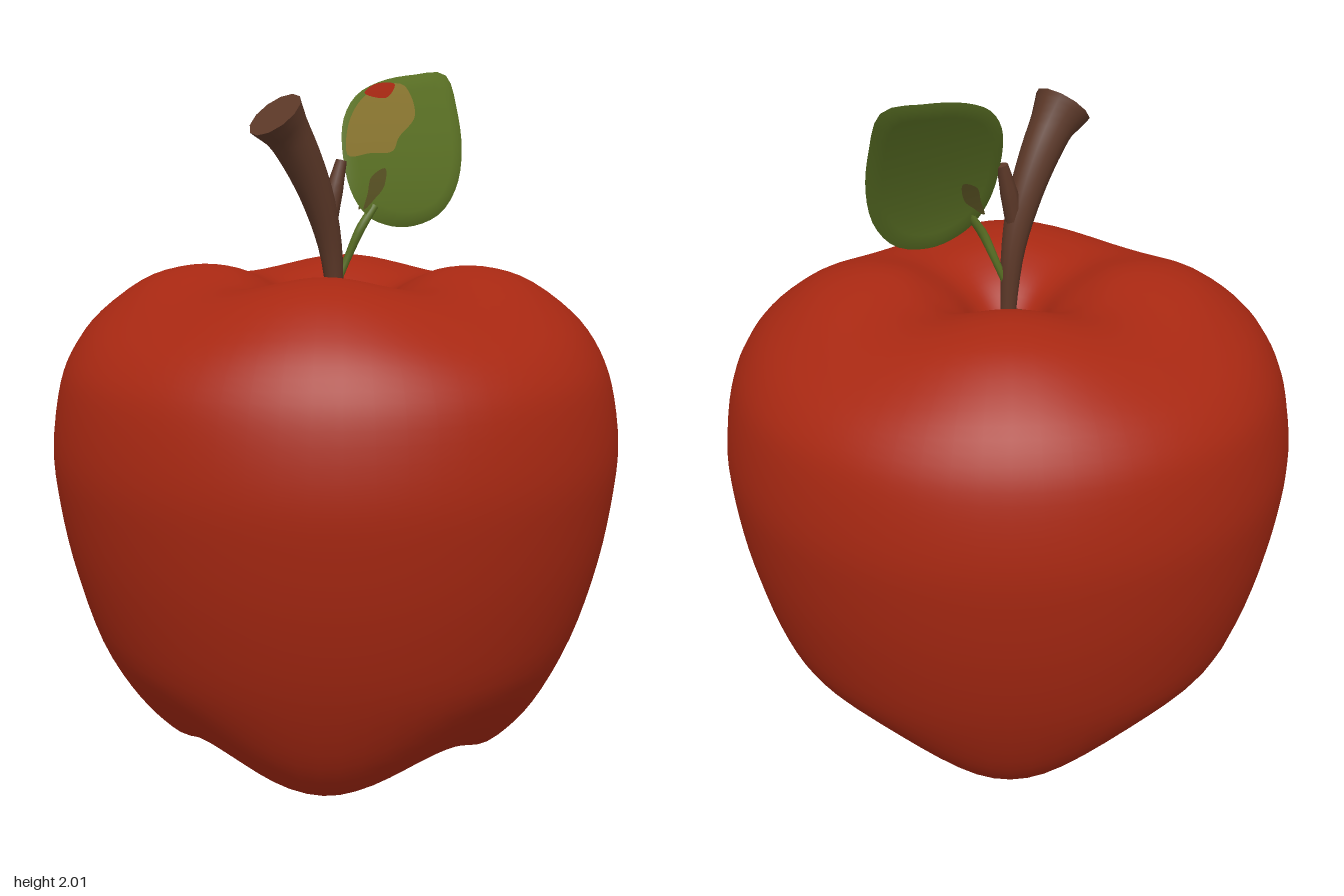
import * as THREE from 'three';
import { mergeVertices } from 'three/addons/utils/BufferGeometryUtils.js';

const paint = (name, color, side = THREE.FrontSide) => {
  const m = new THREE.MeshStandardMaterial({ color, side });
  m.name = name;
  return m;
};
const smooth = THREE.MathUtils.smoothstep;

// Four-lobed fruit: a lathe whose top and bottom dip along the x and z axes
function fruitGeometry() {
  const profile = new THREE.SplineCurve([
    [0, 0.2], [0.1, 0.155], [0.2, 0.085], [0.32, 0.022], [0.44, 0], [0.53, 0.06],
    [0.62, 0.18], [0.715, 0.385], [0.78, 0.6], [0.815, 0.79], [0.826, 0.94],
    [0.805, 1.1], [0.765, 1.21], [0.69, 1.31], [0.56, 1.405], [0.43, 1.442],
    [0.31, 1.437], [0.22, 1.4], [0.14, 1.345], [0.07, 1.27], [0, 1.23],
  ].map(([x, y]) => new THREE.Vector2(x, y))).getPoints(72);
  profile[0].x = profile[72].x = 0;
  let g = new THREE.LatheGeometry(profile, 64);
  const p = g.attributes.position;
  for (let i = 0; i < p.count; i++) {
    const x = p.getX(i), y = p.getY(i), z = p.getZ(i);
    const valley = Math.cos(2 * Math.atan2(z, x)) ** 2 * smooth(Math.hypot(x, z), 0, 0.38);
    const lift = 0.085 * (1 - smooth(y, 0.05, 0.4)) - 0.045 * smooth(y, 1.1, 1.42);
    p.setY(i, y + valley * lift);
  }
  g.deleteAttribute('normal');
  g.deleteAttribute('uv');
  g = mergeVertices(g, 1e-5);
  g.computeVertexNormals();
  return g;
}

// Round limb through [x, y, z, radius] stations, closed at the far end
function limbGeometry(stations, sides = 12, steps = 20) {
  const curve = new THREE.CatmullRomCurve3(stations.map(s => new THREE.Vector3(s[0], s[1], s[2])));
  const pos = [], idx = [];
  for (let i = 0; i <= steps; i++) {
    const t = i / steps, f = t * (stations.length - 1);
    const k = Math.min(Math.floor(f), stations.length - 2);
    const r = THREE.MathUtils.lerp(stations[k][3], stations[k + 1][3], f - k);
    const c = curve.getPoint(t), d = curve.getTangent(t);
    const across = new THREE.Vector3(d.y, -d.x, 0).normalize();
    const depth = new THREE.Vector3().crossVectors(across, d);
    for (let j = 0; j < sides; j++) {
      const a = j / sides * Math.PI * 2;
      const v = c.clone().addScaledVector(across, r * Math.cos(a)).addScaledVector(depth, r * Math.sin(a));
      pos.push(v.x, v.y, v.z);
      if (i < steps) {
        const n = (j + 1) % sides, a0 = i * sides + j, a1 = i * sides + n;
        idx.push(a0, a0 + sides, a1, a1, a0 + sides, a1 + sides);
      }
    }
  }
  // separate rim vertices keep the cut end crisp
  const rim = pos.slice(-sides * 3), start = pos.length / 3;
  pos.push(...rim);
  const end = curve.getPoint(1);
  pos.push(end.x, end.y, end.z);
  for (let j = 0; j < sides; j++) idx.push(start + j, start + sides, start + (j + 1) % sides);
  return build(pos, idx);
}

function build(pos, idx) {
  const g = new THREE.BufferGeometry();
  g.setAttribute('position', new THREE.Float32BufferAttribute(pos, 3));
  g.setIndex(idx);
  g.computeVertexNormals();
  return g;
}

// Leaf surface curls backwards towards its upper edge
const leafZ = y => 0.06 - 0.17 * Math.max(0, (y - 1.55) / 0.45) ** 1.5;

// Curled sheet filling an anticlockwise outline, built from rings about its centre
function sheetGeometry(outline, offset, pinch, back = false) {
  const n = 48, rings = 10;
  const pts = new THREE.CatmullRomCurve3(
    outline.map(([x, y]) => new THREE.Vector3(x, y, 0)), true, 'centripetal').getPoints(n).slice(0, n);
  const c = new THREE.Vector3();
  pts.forEach(p => c.addScaledVector(p, 1 / n));
  const pos = [c.x, c.y, leafZ(c.y) + offset], idx = [];
  for (let r = 1; r <= rings; r++) {
    pts.forEach((p, j) => {
      const v = c.clone().lerp(p, r / rings);
      pos.push(v.x, v.y, leafZ(v.y) + (pinch && r === rings ? 0 : offset));
      const k = (j + 1) % n, o = 1 + (r - 1) * n, q = o - n;
      const tris = r === 1 ? [[0, o + j, o + k]] : [[q + j, o + j, o + k], [q + j, o + k, q + k]];
      tris.forEach(([a, b, d]) => idx.push(...(back ? [a, d, b] : [a, b, d])));
    });
  }
  return build(pos, idx);
}

export function createModel() {
  const red = paint('apple red', 0xa82812);
  const brown = paint('bark brown', 0x5c3828);
  const hollow = paint('hollow brown', 0x6b3620);
  const green = paint('leaf green', 0x5a7024, THREE.DoubleSide);
  const ochre = paint('leaf ochre', 0x8a7630, THREE.DoubleSide);
  const spot = paint('spot brown', 0x575022, THREE.DoubleSide);

  const group = new THREE.Group();
  const add = (name, geometry, material) => {
    const mesh = new THREE.Mesh(geometry, material);
    mesh.name = name;
    group.add(mesh);
    return mesh;
  };

  add('fruit', fruitGeometry(), red);

  // Brown floor of the hollow around the stem
  const floor = add('hollowFloor', new THREE.CircleGeometry(0.08, 20), hollow);
  floor.rotation.x = -Math.PI / 2;
  floor.position.set(-0.02, 1.288, -0.01);

  // Stem flares to a slanted cut end, with a short side stub
  add('stem', limbGeometry([
    [0.005, 1.18, 0, 0.022], [-0.003, 1.34, 0, 0.024], [-0.02, 1.49, 0, 0.034],
    [-0.06, 1.62, 0, 0.046], [-0.115, 1.73, 0, 0.055], [-0.175, 1.82, 0, 0.064], [-0.222, 1.872, 0, 0.085],
  ]), brown);
  add('stemStub', limbGeometry([
    [-0.03, 1.56, 0, 0.026], [-0.01, 1.66, 0.005, 0.025], [0.012, 1.745, 0.01, 0.016],
  ], 8, 8), brown);

  // Leaf: stalk, two faces and the coloured blotches
  add('leafStalk', limbGeometry([
    [0.005, 1.4, 0.005, 0.01], [0.03, 1.47, 0.02, 0.011], [0.055, 1.55, 0.045, 0.014], [0.1, 1.615, 0.055, 0.012],
  ], 8, 10), green);
  const leaf = [
    [0.55, 2.0], [0.4, 1.998], [0.25, 1.973], [0.13, 1.925], [0.05, 1.845], [0.018, 1.74], [0.025, 1.65],
    [0.07, 1.588], [0.15, 1.556], [0.25, 1.55], [0.37, 1.585], [0.46, 1.67], [0.515, 1.78], [0.543, 1.89],
  ];
  add('leafFront', sheetGeometry(leaf, 0.008, true), green);
  add('leafBack', sheetGeometry(leaf, -0.008, true, true), green);
  add('leafOchrePatch', sheetGeometry([
    [0.34, 1.965], [0.25, 1.962], [0.14, 1.916], [0.06, 1.84], [0.03, 1.76],
    [0.12, 1.765], [0.21, 1.77], [0.25, 1.81], [0.34, 1.87], [0.355, 1.92],
  ], 0.011, false), ochre);
  add('leafRedPatch', sheetGeometry([
    [0.3, 1.968], [0.22, 1.966], [0.165, 1.938], [0.24, 1.925], [0.28, 1.945],
  ], 0.014, false), red);
  const streak = [[0.165, 1.72], [0.1, 1.695], [0.075, 1.65], [0.05, 1.605], [0.1, 1.635], [0.145, 1.67]];
  add('leafStreakFront', sheetGeometry(streak, 0.011, false), spot);
  add('leafStreakBack', sheetGeometry(streak, -0.011, false, true), spot);
  return group;
}
